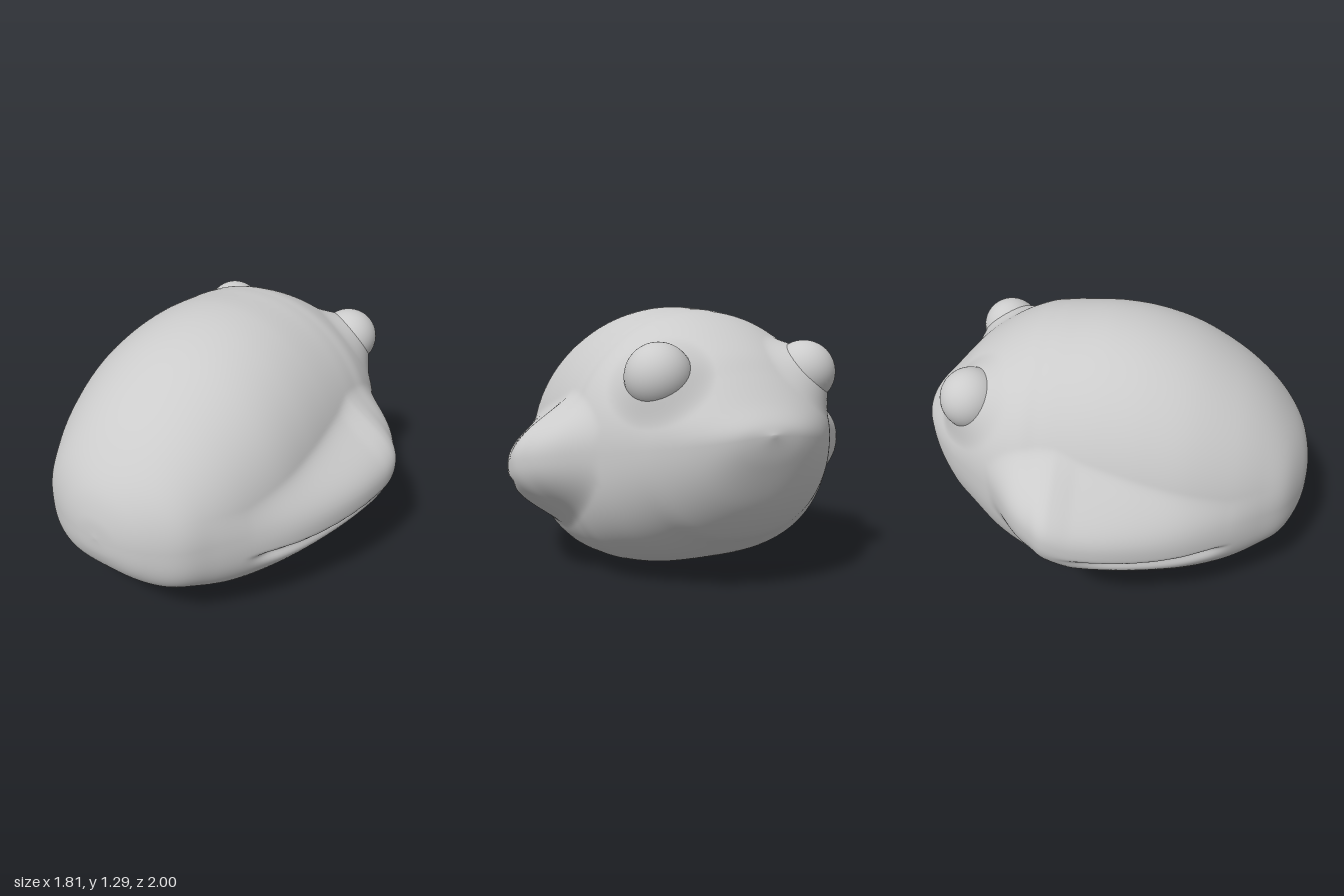
import * as THREE from 'three';
import { mergeVertices } from 'three/addons/utils/BufferGeometryUtils.js';

const { clamp, lerp, smoothstep } = THREE.MathUtils;
const material = new THREE.MeshStandardMaterial({ color: 0xcccccc });

// Stations along the body: [z, top, bottom, half width, centre height, cheek bulge]
const STATIONS = [
  [1, 0.5, 0.5, 0, 0.5, 0],
  [0.99, 0.61, 0.4, 0.13, 0.5, 0],
  [0.95, 0.73, 0.31, 0.26, 0.5, 0],
  [0.87, 0.85, 0.23, 0.4, 0.51, 0],
  [0.75, 0.98, 0.17, 0.49, 0.52, 0.01],
  [0.6, 1.095, 0.105, 0.57, 0.53, 0.035],
  [0.4, 1.205, 0.045, 0.64, 0.54, 0.09],
  [0.2, 1.27, 0.015, 0.67, 0.55, 0.15],
  [0, 1.295, 0.005, 0.68, 0.56, 0.2],
  [-0.2, 1.285, 0.02, 0.68, 0.58, 0.225],
  [-0.3, 1.275, 0.035, 0.675, 0.59, 0.18],
  [-0.4, 1.255, 0.06, 0.665, 0.61, 0.115],
  [-0.55, 1.19, 0.12, 0.61, 0.64, 0],
  [-0.7, 1.09, 0.21, 0.51, 0.67, 0],
  [-0.8, 0.99, 0.28, 0.43, 0.69, 0],
  [-0.9, 0.88, 0.42, 0.31, 0.71, 0],
  [-0.97, 0.805, 0.61, 0.17, 0.73, 0],
  [-1, 0.75, 0.75, 0, 0.75, 0],
];

const EYE = new THREE.Vector3(0.375, 0.985, -0.66);
const EYE_RADIUS = 0.15;
const EYE_AXIS = new THREE.Vector3(0.5, 0.55, -0.6).normalize();

const curveOf = (a, b, c) => new THREE.CatmullRomCurve3(
  STATIONS.map((s) => new THREE.Vector3(s[a], s[b], s[c])), false, 'catmullrom', 0.5);

// Sideways push that raises each oval cheek and cuts the crease into it
function cheekPush(y, z, bulge) {
  const along = clamp((0.6 - z) / 0.8, 0, 1);
  const rear = clamp((-0.1 - z) / 0.42, 0, 1);
  const middle = lerp(0.42, 0.55, along) + 0.09 * rear;
  const reach = lerp(0.24, 0.34, along) * Math.sqrt(1 - 0.8 * rear * rear);
  const d = clamp(Math.abs(y - middle) / reach, 0, 1);
  const raise = Math.max(bulge, 0) * (1 - d ** 2.4) ** 2;

  const creaseY = 0.395 + 0.1 * along * along;
  const fade = smoothstep(z, -0.2, 0.1) * (1 - smoothstep(z, 0.48, 0.64));
  const e = y - creaseY;
  const groove = 0.035 * fade * Math.exp(-((e / (e > 0 ? 0.014 : 0.035)) ** 2));
  return raise - groove;
}

// Swells the skin into a soft rim around each eye
function addEyeRim(p) {
  const side = Math.sign(p.x);
  const d = Math.hypot(p.x - side * EYE.x, p.y - EYE.y, p.z - EYE.z) / 0.25;
  if (d >= 1) return;
  const swell = 0.085 * (1 - d * d) ** 2;
  p.x += side * EYE_AXIS.x * swell;
  p.y += EYE_AXIS.y * swell;
  p.z += EYE_AXIS.z * swell;
}

// Body: loft of rounded sections, elliptical above and squarer below
function bodyGeometry(rings = 170, sides = 320) {
  const outline = curveOf(1, 2, 3);
  const spine = curveOf(0, 4, 5);
  const positions = [];
  const index = [];
  const p = new THREE.Vector3();
  for (let i = 0; i <= rings; i++) {
    const { x: top, y: bottom, z: width } = outline.getPoint(i / rings);
    const { x: z, y: centre, z: bulge } = spine.getPoint(i / rings);
    const squareness = 2.15 + 0.95 * smoothstep(z, -0.9, 0);
    for (let j = 0; j < sides; j++) {
      const angle = (j / sides) * Math.PI * 2;
      const c = Math.cos(angle);
      const s = Math.sin(angle);
      const n = s > 0 ? 2.05 : squareness;
      const r = (Math.abs(c) ** n + Math.abs(s) ** n) ** (-1 / n);
      const y = centre + s * r * (s > 0 ? top - centre : centre - bottom);
      // the push fades towards the top and belly so both halves stay joined
      const side = Math.sign(c) * smoothstep(Math.abs(c), 0.1, 0.6);
      p.set(width * c * r + side * cheekPush(y, z, bulge), y, z);
      addEyeRim(p);
      positions.push(p.x, p.y, p.z);
      if (i < rings) {
        const k = (j + 1) % sides;
        const a = i * sides + j, b = i * sides + k;
        index.push(a, a + sides, b, b, a + sides, b + sides);
      }
    }
  }
  const geometry = new THREE.BufferGeometry();
  geometry.setAttribute('position', new THREE.Float32BufferAttribute(positions, 3));
  geometry.setIndex(index);
  const welded = mergeVertices(geometry, 1e-5);
  welded.computeVertexNormals();
  return welded;
}

export function createModel() {
  const model = new THREE.Group();
  model.name = 'blobCreature';

  const body = new THREE.Mesh(bodyGeometry(), material);
  body.name = 'body';
  model.add(body);

  // Bulging eyes
  const eyeGeometry = new THREE.SphereGeometry(EYE_RADIUS, 40, 28);
  for (const side of [1, -1]) {
    const eye = new THREE.Mesh(eyeGeometry, material);
    eye.name = side > 0 ? 'leftEye' : 'rightEye';
    eye.position.set(side * EYE.x, EYE.y, EYE.z);
    model.add(eye);
  }
  return model;
}
